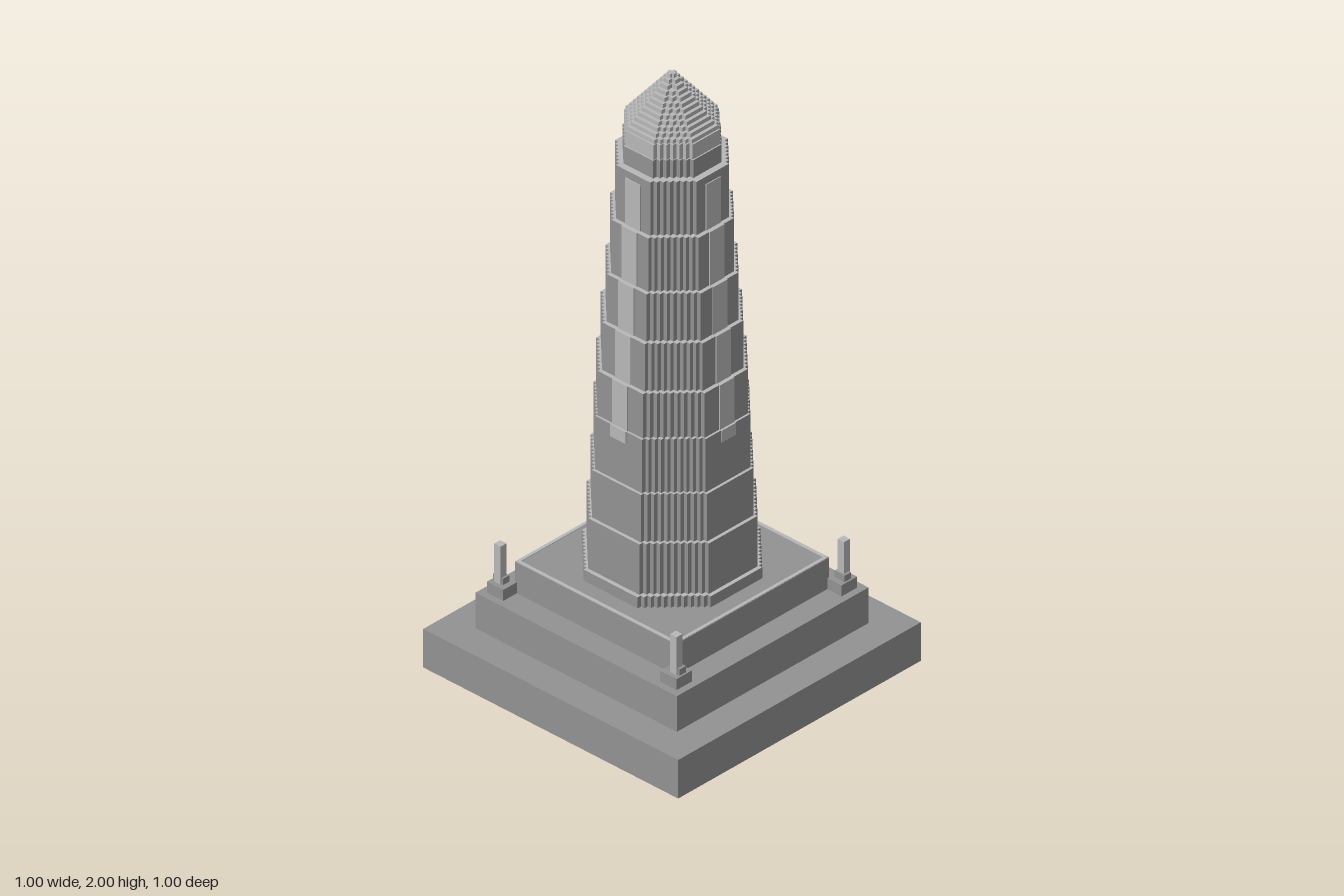
import * as THREE from 'three';

const stone = new THREE.MeshStandardMaterial({ name: 'stone', color: 0x929292 });
const paleStone = new THREE.MeshStandardMaterial({ name: 'pale stone', color: 0xb8b8b8 });
const CELL = 1 / 75;

// Octagon whose four diagonal sides are small square stairs
function steppedOctagon(half) {
  const flat = half * 0.42;
  const n = Math.max(1, Math.round((half - flat) / CELL));
  const d = (half - flat) / n;
  const quarter = [];
  for (let i = 0; i < n; i++) {
    quarter.push([half - i * d, flat + i * d]);
    quarter.push([half - (i + 1) * d, flat + i * d]);
  }
  quarter.push([flat, half]);
  const points = [];
  for (let q = 0; q < 4; q++) {
    for (const [x, y] of quarter) {
      const c = [[x, y], [-y, x], [-x, -y], [y, -x]][q];
      points.push(new THREE.Vector2(c[0], c[1]));
    }
  }
  return new THREE.Shape(points);
}

export function createModel() {
  const model = new THREE.Group();
  model.name = 'obelisk';

  const box = (name, parent, material, w, y0, y1, d, x = 0, z = 0) => {
    const mesh = new THREE.Mesh(new THREE.BoxGeometry(w, y1 - y0, d), material);
    mesh.name = name;
    mesh.position.set(x, (y0 + y1) / 2, z);
    parent.add(mesh);
    return mesh;
  };

  const tier = (name, half, y0, y1, side) => {
    const geometry = new THREE.ExtrudeGeometry(steppedOctagon(half), { depth: y1 - y0, bevelEnabled: false });
    geometry.rotateX(-Math.PI / 2);
    const mesh = new THREE.Mesh(geometry, [paleStone, side]);
    mesh.name = name;
    mesh.position.y = y0;
    model.add(mesh);
  };

  // Stepped square base
  box('lowerBase', model, stone, 1, 0, 0.13, 1);
  box('middleBase', model, stone, 0.79, 0.13, 0.25, 0.79);
  box('upperBase', model, stone, 0.632, 0.25, 0.353, 0.632);

  // Pale edging and inlaid strips, one set per side
  const sides = [0, 1, 2, 3].map((i) => {
    const side = new THREE.Group();
    side.name = 'sideTrim';
    side.rotation.y = i * Math.PI / 2;
    model.add(side);
    box('baseEdging', side, paleStone, 0.62, 0.351, 0.355, 0.011, 0, 0.309);
    return side;
  });

  // Tapering shaft: [top height, half width]
  const shaft = [[0.39, 0.253], [0.56, 0.24], [0.72, 0.229], [0.9, 0.22], [1.05, 0.213],
    [1.21, 0.2], [1.37, 0.187], [1.55, 0.174], [1.73, 0.16]];
  let bottom = 0.353;
  for (const [top, half] of shaft) {
    tier('shaftTier', half, bottom, top, stone);
    const y0 = Math.max(bottom, 0.86);
    const y1 = Math.min(top, 1.705);
    if (y1 > y0) {
      for (const side of sides) box('paleStrip', side, paleStone, 0.06, y0, y1, 0.006, 0, half);
    }
    bottom = top;
  }
  tier('shaftCollar', 0.139, 1.73, 1.79, stone);
  tier('capBase', 0.135, 1.79, 1.84, paleStone);

  // Pointed cap in thin stepped courses
  const courses = 12;
  for (let i = 0; i < courses; i++) {
    const y = 1.84 + i * CELL;
    tier('capCourse', 0.128 * (1 - i / courses) + 0.002, y, y + CELL, paleStone);
  }

  // Corner posts on plinths
  for (const sx of [-1, 1]) {
    for (const sz of [-1, 1]) {
      const post = new THREE.Group();
      post.name = 'cornerPost';
      post.position.set(sx * 0.34, 0, sz * 0.34);
      model.add(post);
      box('plinth', post, stone, 0.064, 0.25, 0.287, 0.064);
      box('collar', post, stone, 0.04, 0.287, 0.308, 0.026, sx * 0.006);
      box('lamp', post, paleStone, 0.025, 0.287, 0.415, 0.025, sx * 0.005, sz * 0.005);
    }
  }
  return model;
}
